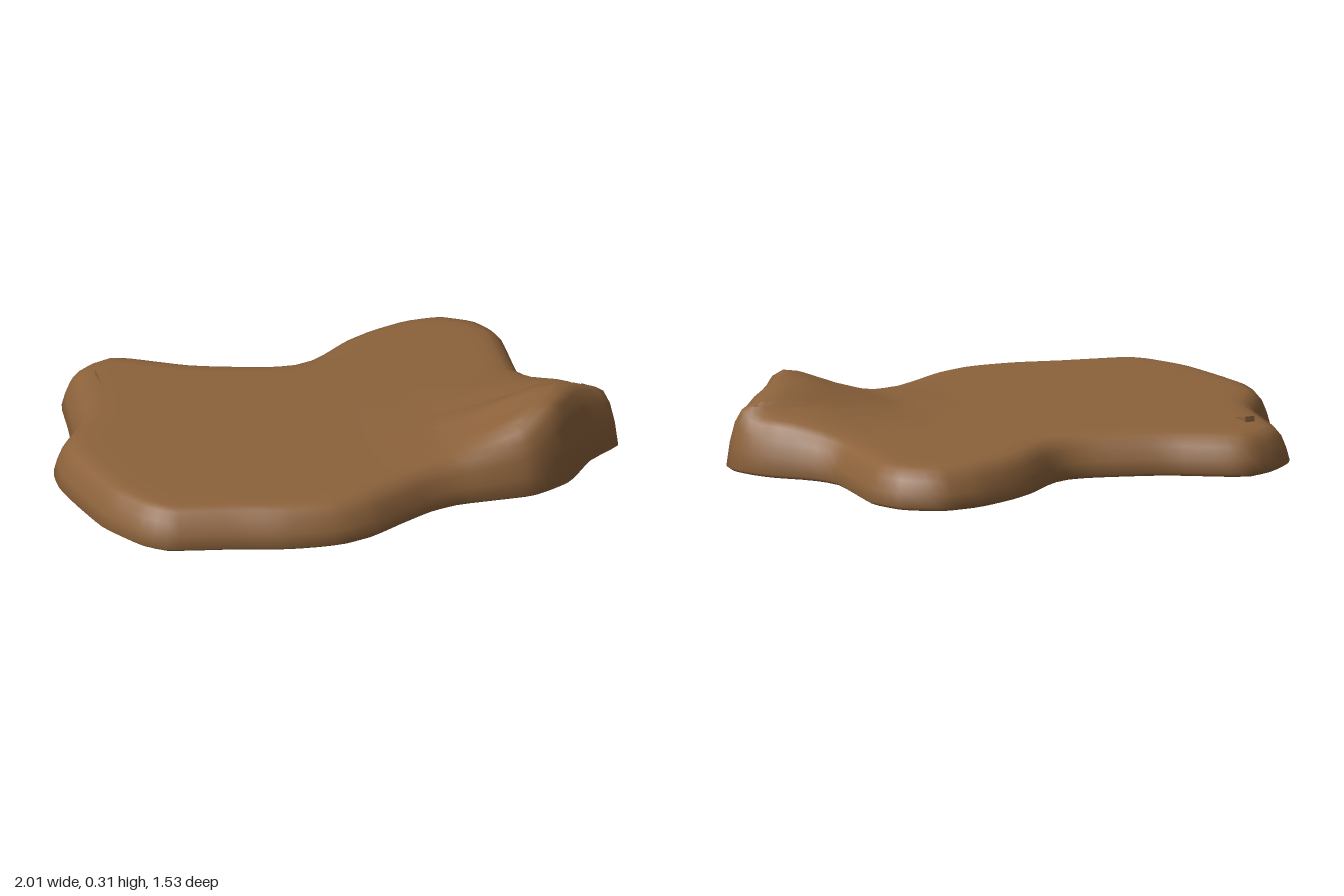
import * as THREE from 'three';

function flat(name, color) {
  const material = new THREE.MeshStandardMaterial({ color });
  material.name = name;
  return material;
}
const brown = flat('brown', 0x8c623b);
const green = flat('dark green', 0x0a5030);
const purple = flat('dark purple', 0x2e1245);

// Plan outline (x, z), clockwise from the back left corner
const OUTLINE = [
  [-0.6, -0.755], [-0.52, -0.73], [-0.34, -0.62], [-0.24, -0.58], [-0.08, -0.53], [0, -0.52], [0.07, -0.545],
  [0.2, -0.65], [0.32, -0.715], [0.47, -0.765], [0.62, -0.765], [0.75, -0.68], [0.81, -0.54], [0.79, -0.23],
  [0.84, -0.12], [0.94, -0.01], [1, 0.1], [1, 0.21], [0.87, 0.3], [0.75, 0.45], [0.6, 0.54], [0.33, 0.55],
  [0.22, 0.58], [0.1, 0.645], [-0.03, 0.72], [-0.15, 0.755], [-0.25, 0.755], [-0.37, 0.74], [-0.53, 0.695],
  [-0.77, 0.64], [-0.86, 0.56], [-0.94, 0.4], [-0.98, 0.2], [-1, 0.04], [-0.98, -0.1], [-0.87, -0.27],
  [-0.84, -0.4], [-0.81, -0.6], [-0.78, -0.66], [-0.7, -0.72],
];

// Edge sections, inset and height: outside from the lip to the top, and inside the recess
const SIDE = [[0.022, 0.02], [0, 0.035], [0.012, 0.08], [0.03, 0.125], [0.055, 0.155], [0.085, 0.165], [0.12, 0.17]];
const LIP = [[0.03, 0.039], [0.022, 0.02]];
const BAND = [[0.032, 0.046], [0.03, 0.039]];
const N = 120;
const INNER = 14;

// Piecewise linear lookup
function lookup(table, v) {
  if (v <= table[0][0]) return table[0][1];
  for (let i = 1; i < table.length; i++) {
    const [a, fa] = table[i - 1], [b, fb] = table[i];
    if (v <= b) return fa + (fb - fa) * (v - a) / (b - a);
  }
  return table[table.length - 1][1];
}

// Raised hump near the front left, 0 to about 1
function hump(x, z) {
  const across = lookup([[0.1, 0], [0.33, 0.09], [0.48, 0.4], [0.6, 0.72], [0.68, 0.93], [0.76, 1], [0.86, 0.92], [0.93, 0.75], [1, 0.7]], x);
  const along = lookup([[-0.2, 0], [-0.1, 0.12], [0, 0.32], [0.11, 0.42], [0.17, 0.75], [0.23, 1], [0.32, 1], [0.4, 1.1], [0.46, 0.85], [0.55, 0.3]], z);
  return across * along;
}

const curve = new THREE.CatmullRomCurve3(OUTLINE.map(([x, z]) => new THREE.Vector3(x, 0, z)), true, 'catmullrom', 0.25);
const edge = curve.getSpacedPoints(N).slice(0, N);
const inward = edge.map((p, i) => {
  const t = edge[(i + 1) % N].clone().sub(edge[(i + N - 1) % N]).normalize();
  return new THREE.Vector3(-t.z, 0, t.x);
});

// Ring of the outer skin: the wall rises with the hump, the foot below it dips
function sideRing([inset, y]) {
  return edge.map((p, i) => {
    const q = p.clone().addScaledVector(inward[i], inset);
    q.y = y <= 0.035
      ? y - 0.02 * Math.min(1, hump(p.x, p.z))
      : 0.035 + (y - 0.035) * (1 + hump(q.x, q.z) * 1.03);
    return q;
  });
}

// Ring of the recess: level, and set further in below the hump
function recessRing([inset, y]) {
  return edge.map((p, i) => {
    const q = p.clone().addScaledVector(inward[i], inset * (1 + hump(p.x, p.z)));
    q.y = y;
    return q;
  });
}

// Skin over successive rings, closed by a fan to a centre point if given
function skin(name, rings, material, centre) {
  const points = rings.flat();
  const index = [];
  const last = (rings.length - 1) * N;
  for (let i = 0; i < N; i++) {
    const j = (i + 1) % N;
    for (let r = 0; r < last; r += N) {
      index.push(r + i, r + N + i, r + N + j, r + i, r + N + j, r + j);
    }
    if (centre) index.push(points.length, last + j, last + i);
  }
  if (centre) points.push(centre);
  const geometry = new THREE.BufferGeometry().setFromPoints(points);
  geometry.setIndex(index);
  geometry.computeVertexNormals();
  const mesh = new THREE.Mesh(geometry, material);
  mesh.name = name;
  return mesh;
}

export function createModel() {
  const group = new THREE.Group();
  group.name = 'slab';

  // Rounded body with the hump
  const rings = SIDE.map(sideRing);
  const rim = rings[rings.length - 1];
  for (let k = 1; k < INNER; k++) {
    rings.push(rim.map((p) => {
      const q = p.clone().multiplyScalar(1 - k / INNER);
      q.y = 0.17 + 0.14 * hump(q.x, q.z);
      return q;
    }));
  }
  group.add(skin('body', rings, brown, new THREE.Vector3(0, 0.17, 0)));

  // Shallow recess below: brown lip, thin purple band, green underside
  group.add(skin('lip', [recessRing(LIP[0]), sideRing(LIP[1])], brown));
  group.add(skin('band', BAND.map(recessRing), purple));
  const under = recessRing(BAND[0]).reverse();
  group.add(skin('underside', [under], green, new THREE.Vector3(0, BAND[0][1], 0)));

  // Small raised chip near the back right corner
  const chip = new THREE.Shape([[0.44, 0.165], [0.55, 0.165], [0.55, 0.19], [0.53, 0.185]].map(([x, y]) => new THREE.Vector2(x, y)));
  const chipMesh = new THREE.Mesh(new THREE.ExtrudeGeometry(chip, { depth: 0.035, bevelEnabled: false }), brown);
  chipMesh.name = 'chip';
  chipMesh.rotation.y = Math.PI / 2;
  chipMesh.position.x = -0.7;
  group.add(chipMesh);

  return group;
}
